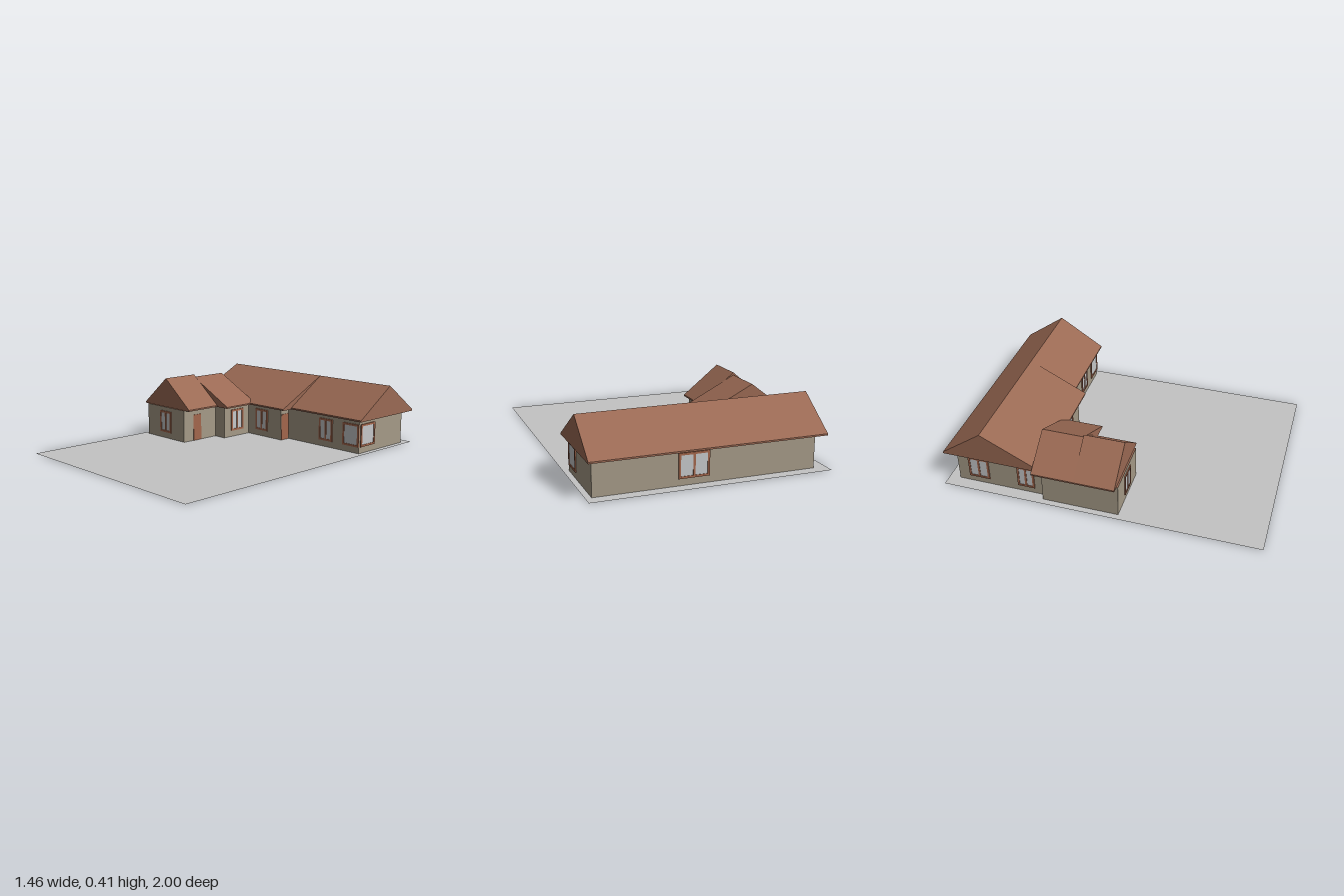
import * as THREE from 'three';

const mat = (name, color, extra = {}) => {
  const m = new THREE.MeshStandardMaterial({ color, ...extra });
  m.name = name;
  return m;
};

export function createModel() {
  const model = new THREE.Group();
  model.name = 'house';
  const roofTile = mat('roofTile', 0x9b6a54);
  const wallRender = mat('wallRender', 0xa59a87);
  const paving = mat('paving', 0xc4c4c4, { side: THREE.DoubleSide });
  const timber = mat('timber', 0xa3664c);
  const glass = mat('glass', 0xc6c8ca);

  const add = (name, geometry, material, parent = model) => {
    const mesh = new THREE.Mesh(geometry, material);
    mesh.name = name;
    parent.add(mesh);
    return mesh;
  };
  const shapeOf = pts => new THREE.Shape(pts.map(([x, y]) => new THREE.Vector2(x, y)));

  // Plot of ground
  const plot = new THREE.PlaneGeometry(1.455, 2).rotateX(-Math.PI / 2).translate(-0.002, 0.002, 0);
  add('ground', plot, paving);

  // Stepped footprint raised into walls, with a brown slab underneath
  const footprint = [
    [-0.65, -0.93], [0.69, -0.93], [0.69, -0.475], [0.09, -0.475], [0.09, -0.4], [-0.22, -0.4],
    [-0.22, -0.165], [-0.31, -0.165], [-0.31, 0.12], [-0.69, 0.12], [-0.69, -0.36], [-0.65, -0.36],
  ];
  const wallGeo = new THREE.ExtrudeGeometry(shapeOf(footprint.map(([x, z]) => [x, -z])),
    { depth: 0.217, bevelEnabled: false }).rotateX(-Math.PI / 2);
  add('walls', wallGeo, [roofTile, wallRender]);

  // Gabled roofs: eave a, ridge r, eave b across; from s to e along the ridge
  const roof = (name, along, a, r, b, height, s, e) => {
    const low = 0.215, lip = 0.225;
    const profile = shapeOf([[a, low], [b, low], [b, lip], [r, height], [a, lip]]);
    const geo = new THREE.ExtrudeGeometry(profile, { depth: e - s, bevelEnabled: false });
    if (along === 'x') geo.rotateY(-Math.PI / 2).translate(e, 0, 0);
    else geo.translate(0, 0, s);
    add(name, geo, roofTile);
  };
  roof('mainRoof', 'x', -1, -0.74, -0.365, 0.413, -0.69, 0.14);
  roof('endRoof', 'x', -1, -0.74, -0.445, 0.413, 0.14, 0.725);
  roof('wingRoof', 'z', -0.73, -0.507, -0.17, 0.396, -0.41, -0.145);
  roof('wingFrontRoof', 'z', -0.73, -0.507, -0.27, 0.413, -0.145, 0.11);

  // Windows: timber bars around one or two panes, facing +z before turning
  const windowAt = (name, x, z, turn, width, panes) => {
    const g = new THREE.Group();
    g.name = name;
    const y0 = 0.043, y1 = 0.19, bar = 0.013, h = y1 - y0, mid = (y0 + y1) / 2;
    add('pane', new THREE.BoxGeometry(width - bar, h - bar, 0.004).translate(0, mid, 0.001), glass, g);
    for (const y of [y0 + bar / 2, y1 - bar / 2])
      add('rail', new THREE.BoxGeometry(width, bar, 0.009).translate(0, y, 0.002), timber, g);
    for (let i = 0; i <= panes; i++) {
      const px = (i / panes - 0.5) * (width - bar);
      add('upright', new THREE.BoxGeometry(bar, h - 2 * bar, 0.009).translate(px, mid, 0.002), timber, g);
    }
    g.position.set(x, 0, z);
    g.rotation.y = turn;
    model.add(g);
  };
  const RIGHT = Math.PI / 2, LEFT = -Math.PI / 2, BACK = Math.PI;
  windowAt('wingWindow', -0.498, 0.12, 0, 0.115, 2);
  windowAt('middleWindow', -0.09, -0.4, 0, 0.112, 2);
  windowAt('frontWindow', 0.42, -0.475, 0, 0.112, 2);
  windowAt('cornerWindowFront', 0.626, -0.475, 0, 0.13, 1);
  windowAt('cornerWindowSide', 0.69, -0.562, RIGHT, 0.145, 1);
  windowAt('courtWindow', -0.22, -0.285, RIGHT, 0.112, 2);
  windowAt('backWindow', 0.105, -0.93, BACK, 0.185, 2);
  windowAt('sideWindowRear', -0.65, -0.79, LEFT, 0.135, 2);
  windowAt('sideWindowFront', -0.65, -0.48, LEFT, 0.11, 2);

  // Doors on the walls that face +x
  for (const [name, x, z] of [['wingDoor', -0.31, 0.003], ['mainDoor', 0.09, -0.437]])
    add(name, new THREE.BoxGeometry(0.006, 0.177, 0.068).translate(x, 0.09, z), timber);

  return model;
}
